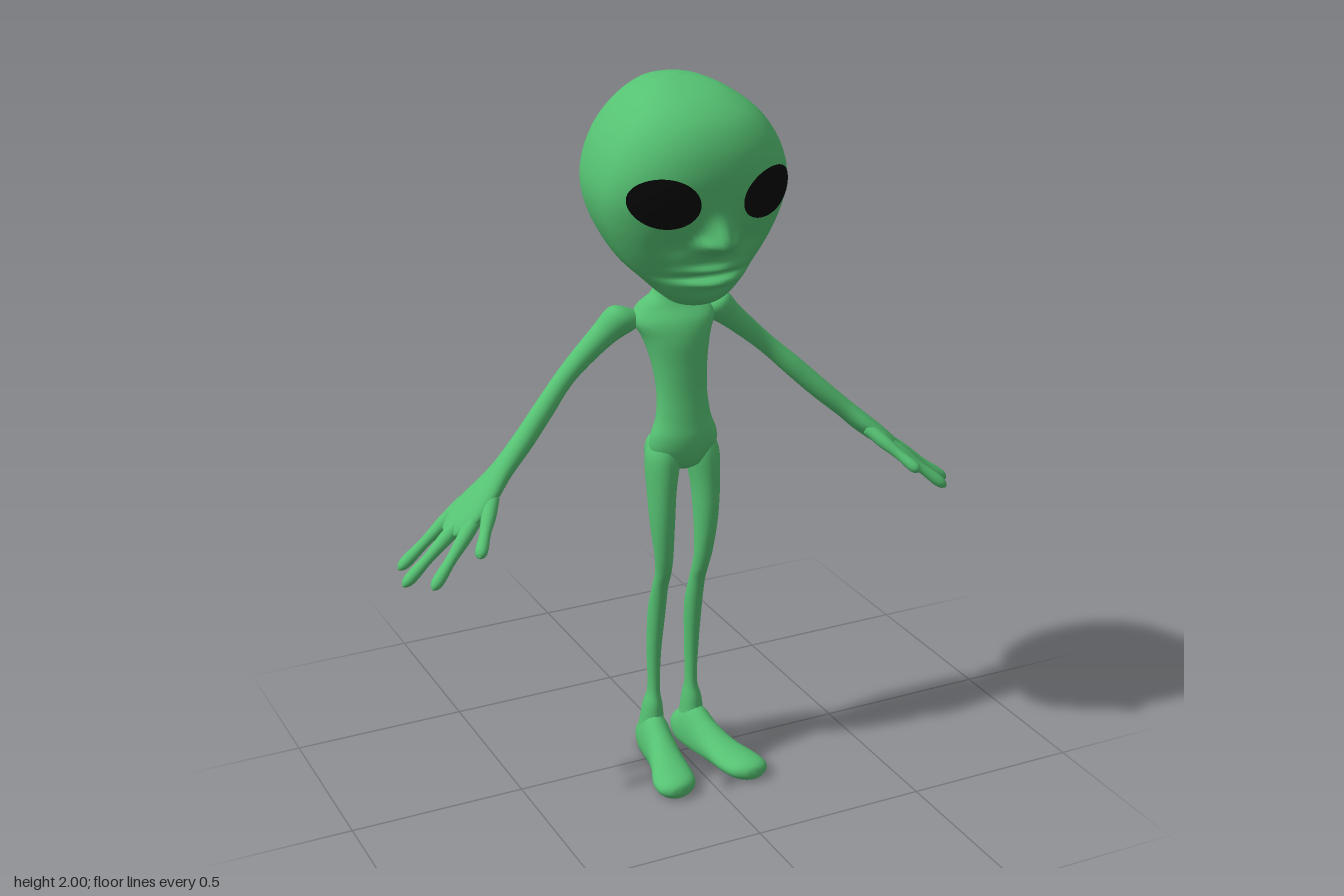
import * as THREE from 'three';

const skin = new THREE.MeshStandardMaterial({ color: 0x55c172 });
const black = new THREE.MeshStandardMaterial({ color: 0x060606, side: THREE.DoubleSide });
const V = (x, y, z) => new THREE.Vector3(x, y, z);
const bell = (d, s) => Math.exp(-(d * d) / (s * s));

// Smooth Catmull-Rom reading of a table of rows, t from 0 to 1
function sample(rows, t) {
  const n = rows.length - 1, f = Math.min(t * n, n - 1e-6), i = Math.floor(f), k = f - i;
  const at = j => rows[Math.max(0, Math.min(n, j))];
  return rows[0].map((_, c) => {
    const a = at(i - 1)[c], b = at(i)[c], d = at(i + 1)[c], e = at(i + 2)[c];
    const m0 = (d - a) / 2, m1 = (e - b) / 2;
    return b + k * (m0 + k * (3 * (d - b) - 2 * m0 - m1 + k * (2 * (b - d) + m0 + m1)));
  });
}

// Closed skin over rings; ringPoint(t, angle) gives a surface point
function surface(name, rings, sides, ringPoint, flip, material = skin) {
  const pos = [], idx = [];
  for (let i = 0; i <= rings; i++)
    for (let j = 0; j < sides; j++) pos.push(...ringPoint(i / rings, j / sides * Math.PI * 2).toArray());
  const quad = (a, b, c, d) => flip ? idx.push(a, c, b, b, c, d) : idx.push(a, b, c, b, d, c);
  for (let i = 0; i < rings; i++)
    for (let j = 0; j < sides; j++) {
      const k = (j + 1) % sides;
      quad(i * sides + j, i * sides + k, (i + 1) * sides + j, (i + 1) * sides + k);
    }
  // end caps
  [0, rings].forEach(i => {
    const c = V(0, 0, 0), o = i * sides, m = pos.length / 3;
    for (let j = 0; j < sides; j++) c.add(V(...pos.slice((o + j) * 3, (o + j) * 3 + 3)));
    pos.push(...c.divideScalar(sides).toArray());
    for (let j = 0; j < sides; j++) {
      const a = o + j, b = o + (j + 1) % sides;
      if ((i === 0) !== flip) idx.push(m, b, a); else idx.push(m, a, b);
    }
  });
  const g = new THREE.BufferGeometry();
  g.setAttribute('position', new THREE.Float32BufferAttribute(pos, 3));
  g.setIndex(idx);
  g.computeVertexNormals();
  const mesh = new THREE.Mesh(g, material);
  mesh.name = name;
  return mesh;
}

// Limb through rows of [x, y, z, radius along u, radius along v]
function loft(name, rows, u, v, floor = -1) {
  const a = rows[0], b = rows[rows.length - 1];
  const flip = u.clone().cross(v).dot(V(b[0] - a[0], b[1] - a[1], b[2] - a[2])) < 0;
  return surface(name, rows.length * 6, 28, (t, ang) => {
    const [x, y, z, ru, rv] = sample(rows, t);
    const p = V(x, y, z).addScaledVector(u, Math.max(ru, 0.002) * Math.cos(ang))
      .addScaledVector(v, Math.max(rv, 0.002) * Math.sin(ang));
    p.y = Math.max(p.y, floor);
    return p;
  }, flip);
}

// Head rows: height, half width, front z, back z
const HEAD = [
  [2.0, 0.005, -0.025, -0.035], [1.99, 0.07, 0.06, -0.11], [1.965, 0.12, 0.14, -0.165],
  [1.92, 0.175, 0.205, -0.215], [1.86, 0.22, 0.242, -0.258], [1.79, 0.25, 0.256, -0.281],
  [1.72, 0.26, 0.25, -0.285], [1.65, 0.247, 0.232, -0.265], [1.58, 0.215, 0.212, -0.23],
  [1.52, 0.175, 0.19, -0.185], [1.47, 0.125, 0.188, -0.135], [1.435, 0.088, 0.17, -0.1],
  [1.412, 0.055, 0.13, -0.06], [1.404, 0.015, 0.065, 0.01],
];

function headPoint(t, ang) {
  const [y, w, front, back] = sample(HEAD, t);
  const zc = front - 0.33 * (front - back), c = Math.cos(ang), s = Math.sin(ang);
  const e = s > 0 ? 2 / 2.1 : 2 / 2.5;
  const x = w * Math.sign(c) * Math.abs(c) ** e, ax = Math.abs(x);
  let z = zc + (s > 0 ? front - zc : back - zc) * Math.abs(s) ** e;
  if (s > 0) {
    const dy = y - 1.605;
    z += 0.062 * bell(x, 0.032) * bell(dy, dy > 0 ? 0.06 : 0.024);              // nose
    z += 0.024 * bell(ax - 0.04, 0.018) * bell(y - 1.605, 0.02);                // nostrils
    z += 0.022 * bell(x, 0.075) * (bell(y - 1.527, 0.013) + bell(y - 1.49, 0.013)); // lips
    z -= 0.018 * bell(x, 0.085) * bell(y - 1.509, 0.007);                       // mouth line
    z -= 0.012 * bell(ax - 0.11, 0.05) * bell(y - 1.6, 0.04);                   // cheek hollow
  }
  return V(x, y, z);
}

// Point on the face at a given x and y
function facePoint(x, y) {
  const solve = (lo, hi, above) => {
    for (let i = 0; i < 30; i++) { const m = (lo + hi) / 2; if (above(m)) lo = m; else hi = m; }
    return (lo + hi) / 2;
  };
  const t = solve(0, 1, m => sample(HEAD, m)[0] > y);
  return headPoint(t, solve(0.001, Math.PI - 0.001, m => headPoint(t, m).x > x));
}

// Dark almond patch lying just proud of the face
function eye(name, s) {
  return surface(name, 14, 48, (t, ang) => {
    const r = Math.max(t, 0.01), dx = 0.086 * r * Math.cos(ang);
    const dy = 0.068 * r * Math.sin(ang) + 0.1 * dx;
    const p = facePoint(s * (0.145 + dx), 1.725 + dy);
    const lift = 0.004 + 0.005 * (1 - r * r);
    return p.add(V(s * lift * 0.5, 0, lift));
  }, s < 0, black);
}

const TORSO = [
  [0, 0.905, 0.015, 0.012, 0.015], [0, 0.925, 0.017, 0.055, 0.045], [0, 0.965, 0.018, 0.095, 0.06],
  [0, 1.01, 0.02, 0.097, 0.062], [0, 1.06, 0.018, 0.08, 0.056], [0, 1.13, 0.01, 0.073, 0.053],
  [0, 1.21, -0.005, 0.08, 0.06], [0, 1.28, -0.025, 0.097, 0.073], [0, 1.33, -0.045, 0.12, 0.074],
  [0, 1.365, -0.06, 0.1, 0.055], [0, 1.39, -0.065, 0.058, 0.045], [0, 1.42, -0.062, 0.045, 0.042],
  [0, 1.47, -0.05, 0.05, 0.045],
];
const LEG = [
  [0.055, 1.0, 0.015, 0.03, 0.035], [0.06, 0.95, 0.012, 0.047, 0.058], [0.067, 0.85, 0.02, 0.039, 0.053],
  [0.067, 0.75, 0.025, 0.033, 0.043], [0.062, 0.65, 0.024, 0.026, 0.029], [0.058, 0.59, 0.01, 0.022, 0.027],
  [0.058, 0.54, -0.01, 0.022, 0.026], [0.058, 0.45, -0.035, 0.024, 0.031], [0.06, 0.32, -0.05, 0.02, 0.026],
  [0.06, 0.2, -0.053, 0.017, 0.023], [0.063, 0.14, -0.055, 0.028, 0.036], [0.065, 0.05, -0.06, 0.038, 0.05],
];
const FOOT = [
  [0.055, 0.03, -0.132, 0.004, 0.008], [0.056, 0.03, -0.12, 0.03, 0.035], [0.06, 0.032, -0.08, 0.044, 0.065],
  [0.066, 0.034, -0.03, 0.046, 0.088], [0.074, 0.03, 0.03, 0.046, 0.065], [0.088, 0.027, 0.1, 0.052, 0.042],
  [0.105, 0.024, 0.17, 0.062, 0.033], [0.114, 0.024, 0.22, 0.055, 0.03], [0.118, 0.024, 0.245, 0.03, 0.02],
  [0.119, 0.022, 0.252, 0.004, 0.005],
];
const ARM = [
  [0.09, 1.335, -0.068, 0.02, 0.025], [0.14, 1.335, -0.07, 0.045, 0.045], [0.2, 1.287, -0.08, 0.036, 0.035],
  [0.3, 1.197, -0.078, 0.029, 0.027], [0.38, 1.12, -0.052, 0.03, 0.029], [0.45, 1.052, -0.028, 0.033, 0.029],
  [0.52, 0.988, -0.008, 0.039, 0.027], [0.57, 0.942, 0.004, 0.058, 0.028], [0.62, 0.9, 0.01, 0.073, 0.026],
  [0.665, 0.862, 0.012, 0.066, 0.021], [0.695, 0.84, 0.012, 0.03, 0.01],
];
// Base and tip of each finger
const FINGERS = [
  ['outerFinger', [0.62, 0.9, -0.042], [0.82, 0.74, -0.03]],
  ['middleFinger', [0.64, 0.885, 0.02], [0.838, 0.732, 0.058]],
  ['innerFinger', [0.62, 0.895, 0.055], [0.785, 0.748, 0.143]],
  ['thumb', [0.575, 0.93, 0.045], [0.667, 0.832, 0.185]],
];

function finger(name, base, tip, s) {
  const a = V(s * base[0], base[1], base[2]), b = V(s * tip[0], tip[1], tip[2]);
  const dir = b.clone().sub(a).normalize();
  const u = dir.clone().cross(V(s * 0.63, 0.78, 0)).normalize(), v = u.clone().cross(dir);
  const profile = [[0, 0.02], [0.3, 0.021], [0.6, 0.016], [0.85, 0.018], [0.95, 0.014], [1, 0.003]];
  return loft(name, profile.map(([t, r]) => [...a.clone().lerp(b, t).toArray(), r, r * 0.9]), u, v);
}

export function createModel() {
  const model = new THREE.Group();
  model.name = 'alienFigure';
  const X = V(1, 0, 0), Y = V(0, 1, 0), Z = V(0, 0, 1);
  model.add(surface('head', 120, 128, headPoint, false));
  model.add(loft('torso', TORSO, X, Z));

  for (const [side, s] of [['left', 1], ['right', -1]]) {
    const mirror = rows => rows.map(([x, ...rest]) => [s * x, ...rest]);
    model.add(eye(side + 'Eye', s));

    const leg = new THREE.Group();
    leg.name = side + 'Leg';
    const buttock = new THREE.Mesh(new THREE.SphereGeometry(1, 28, 20), skin);
    buttock.name = 'buttock';
    buttock.scale.set(0.047, 0.058, 0.048);
    buttock.position.set(s * 0.05, 0.955, -0.017);
    leg.add(buttock, loft('shank', mirror(LEG), X, Z), loft('foot', mirror(FOOT), X, Y, 0));

    const arm = new THREE.Group();
    arm.name = side + 'Arm';
    arm.add(loft('armAndPalm', mirror(ARM), Z, V(s * 0.63, 0.78, 0)));
    FINGERS.forEach(([name, base, tip]) => arm.add(finger(name, base, tip, s)));
    model.add(leg, arm);
  }
  return model;
}
